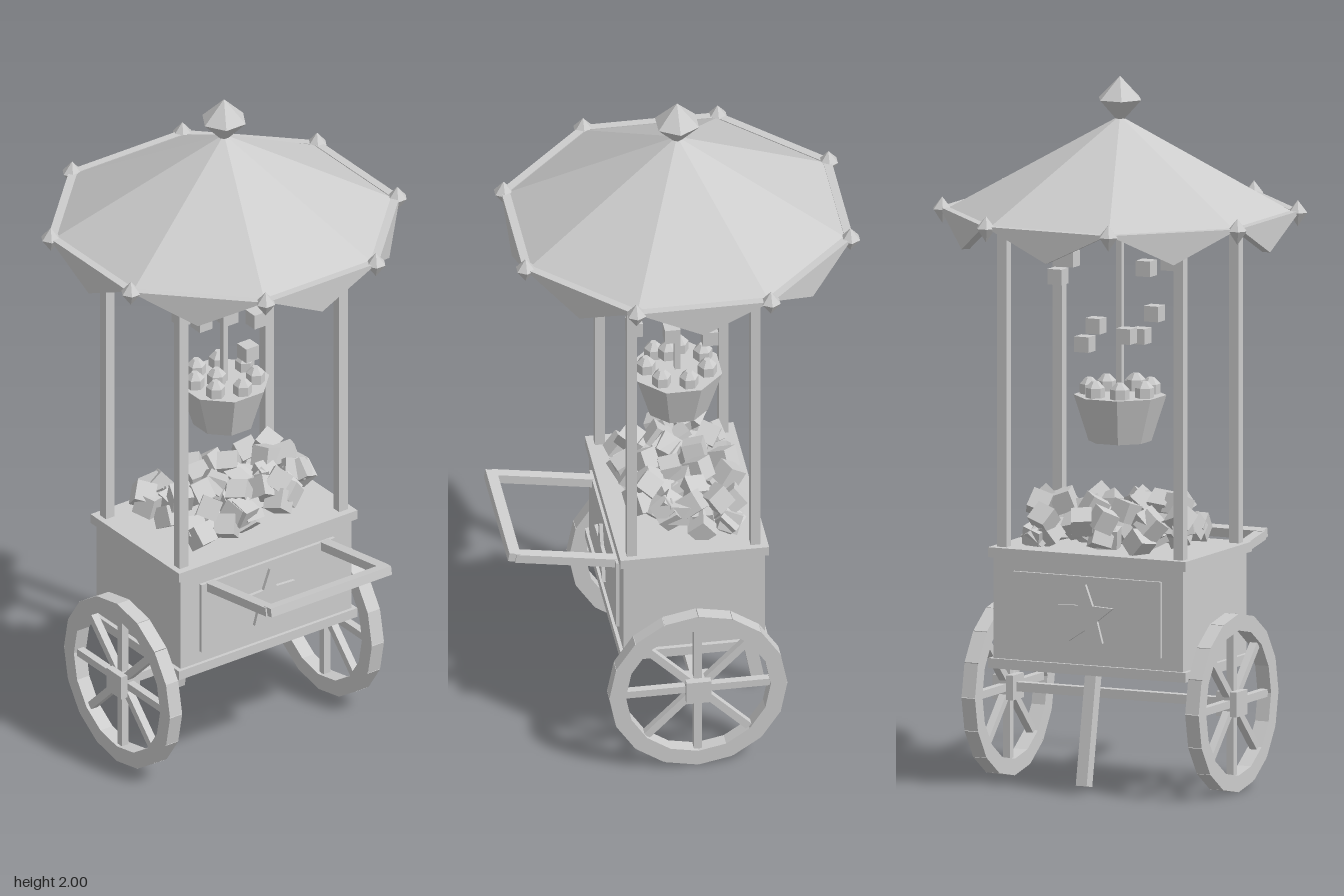
import * as THREE from 'three';

const CZ = -0.015; // centre line of the cart body

export function createModel() {
  const root = new THREE.Group();
  root.name = 'snackCart';
  const grey = new THREE.MeshStandardMaterial({ color: 0xcccccc });
  grey.name = 'light grey';
  grey.flatShading = true;

  const add = (parent, name, geo, x = 0, y = 0, z = 0) => {
    const m = new THREE.Mesh(geo, grey);
    m.name = name;
    m.position.set(x, y, z);
    parent.add(m);
    return m;
  };
  const box = (parent, name, w, h, d, x, y, z) =>
    add(parent, name, new THREE.BoxGeometry(w, h, d), x, y, z);
  const group = (name, x = 0, y = 0, z = 0) => {
    const g = new THREE.Group();
    g.name = name;
    g.position.set(x, y, z);
    root.add(g);
    return g;
  };
  // Beam in the plane of constant x, from (y0, z0) to (y1, z1)
  const beam = (parent, name, w, t, x, y0, z0, y1, z1) => {
    const m = box(parent, name, w, t, Math.hypot(y1 - y0, z1 - z0), x, (y0 + y1) / 2, (z0 + z1) / 2);
    m.rotation.x = -Math.atan2(y1 - y0, z1 - z0);
    return m;
  };
  let seed = 17;
  const rnd = () => (seed = (seed * 16807) % 2147483647) / 2147483647;

  // Cart box with top and bottom slabs
  const body = group('cartBody', 0, 0, CZ);
  box(body, 'bodyBox', 0.59, 0.3, 0.4, 0, 0.505, 0);
  box(body, 'topSlab', 0.615, 0.028, 0.42, 0, 0.663, 0);
  box(body, 'bottomSlab', 0.615, 0.028, 0.42, 0, 0.35, 0);

  // Raised panel and star on the front and back
  const star = new THREE.Shape();
  for (let i = 0; i < 10; i++) {
    const r = i % 2 ? 0.038 : 0.09, a = Math.PI / 2 + (i * Math.PI) / 5;
    star[i ? 'lineTo' : 'moveTo'](r * Math.cos(a), r * Math.sin(a));
  }
  star.closePath();
  const starGeo = new THREE.ExtrudeGeometry(star, { depth: 0.012, bevelEnabled: false });
  for (const side of [0, Math.PI]) {
    const face = new THREE.Group();
    face.name = side ? 'backPanel' : 'frontPanel';
    face.rotation.y = side;
    body.add(face);
    box(face, 'panel', 0.46, 0.215, 0.01, 0, 0.507, 0.205);
    add(face, 'star', starGeo, 0, 0.503, 0.208);
  }

  // Push handle
  const handle = group('handle');
  for (const s of [-1, 1]) beam(handle, 'handleArm', 0.03, 0.026, s * 0.197, 0.6, 0.18, 0.65, 0.475);
  const grip = box(handle, 'handleGrip', 0.415, 0.026, 0.032, 0, 0.652, 0.479);
  grip.rotation.x = -0.17;

  // Rear prop leg
  beam(root, 'propLeg', 0.034, 0.036, 0, 0.35, -0.18, 0.025, -0.242);

  // Wheels and axle
  box(root, 'axle', 0.66, 0.026, 0.026, 0, 0.255, CZ);
  const N = 16, R = 0.25, T = 0.046;
  for (const s of [-1, 1]) {
    const wheel = group(s > 0 ? 'leftWheel' : 'rightWheel', s * 0.348, 0.254, CZ);
    for (let i = 0; i < N; i++) {
      const a = ((i + 0.5) * Math.PI * 2) / N, r = R - 0.003 - T / 2;
      const seg = box(wheel, 'rimSegment', 0.042, T, 2 * R * Math.tan(Math.PI / N) * 0.97,
        0, r * Math.cos(a), r * Math.sin(a));
      seg.rotation.x = a;
    }
    for (let i = 0; i < 4; i++)
      box(wheel, 'spoke', 0.022, 0.42, 0.022, 0, 0, 0).rotation.x = (i * Math.PI) / 4;
    box(wheel, 'hub', 0.064, 0.07, 0.07, 0, 0, 0);
  }

  // Corner posts
  for (const sx of [-1, 1]) for (const sz of [-1, 1])
    box(root, 'cornerPost', 0.03, 0.95, 0.028, sx * 0.275, 1.147, CZ + sz * 0.175);

  // Octagonal canopy with pointed valance panels
  const canopy = group('canopy', 0, 0, CZ);
  add(canopy, 'roof', new THREE.ConeGeometry(0.48, 0.265, 8), 0, 1.755, 0).rotation.y = Math.PI / 8;
  const tri = new THREE.Shape([
    new THREE.Vector2(-0.19, 0), new THREE.Vector2(0, -0.092), new THREE.Vector2(0.19, 0),
  ]);
  const valance = new THREE.ExtrudeGeometry(tri, { depth: 0.024, bevelEnabled: false });
  valance.translate(0, 0, 0.443);
  const gem = (name, r, up, down, x, y, z) => {
    const top = add(canopy, name + 'Top', new THREE.ConeGeometry(r, up, 6), x, y + up / 2, z);
    const low = add(canopy, name + 'Base', new THREE.CylinderGeometry(r, 0, down, 6), x, y - down / 2, z);
    top.rotation.y = low.rotation.y = Math.PI / 6;
  };
  for (let i = 0; i < 8; i++) {
    const a = (i * Math.PI) / 4, b = a + Math.PI / 8;
    add(canopy, 'valance', valance, 0, 1.625, 0).rotation.y = a;
    gem('cornerFinial', 0.029, 0.034, 0.04, 0.497 * Math.sin(b), 1.62, 0.497 * Math.cos(b));
  }
  gem('roofFinial', 0.066, 0.065, 0.07, 0, 1.935, 0);

  // Hanging bucket with treats
  const bucket = group('hangingBucket', 0, 0, CZ);
  box(bucket, 'hangingRod', 0.016, 0.56, 0.016, 0, 1.35, 0);
  add(bucket, 'bucketBody', new THREE.CylinderGeometry(0.13, 0.088, 0.13, 8), 0, 1.035, 0)
    .rotation.y = Math.PI / 8;
  const treat = (x, y, z) => {
    add(bucket, 'treatBase', new THREE.CylinderGeometry(0.027, 0.027, 0.03, 6), x, y + 0.013, z);
    add(bucket, 'treatTop', new THREE.CylinderGeometry(0.01, 0.027, 0.018, 6), x, y + 0.037, z);
  };
  for (let i = 0; i < 7; i++) {
    const a = (i * Math.PI * 2) / 7;
    treat(0.088 * Math.sin(a), 1.1, 0.088 * Math.cos(a));
  }
  treat(-0.04, 1.115, 0.02);

  // Small cubes floating under the canopy
  const cubes = [
    [-0.165, 1.487, -0.026], [-0.055, 1.53, 0.11], [-0.03, 1.445, 0.09], [0.12, 1.487, -0.09],
    [0.125, 1.445, -0.153], [-0.095, 1.333, 0.01], [-0.07, 1.285, -0.116], [0.09, 1.285, 0.015],
    [-0.005, 1.25, 0.106], [0.07, 1.25, -0.095],
  ];
  for (const [x, y, z] of cubes) box(root, 'floatingCube', 0.044, 0.044, 0.044, x, y, z);

  // Heap of tumbled cubes on the counter
  const heap = group('cubeHeap', 0, 0, CZ);
  for (let i = 0; i < 60; i++) {
    const u = rnd() * 2 - 1, v = rnd() * 2 - 1;
    const y = 0.7 + 0.12 * rnd() * (1.15 - 0.4 * Math.max(Math.abs(u), Math.abs(v)));
    const c = box(heap, 'heapCube', 0.058, 0.058, 0.058, u * 0.225, y, v * 0.14);
    c.rotation.set(rnd() * 3, rnd() * 3, rnd() * 3);
  }
  return root;
}
